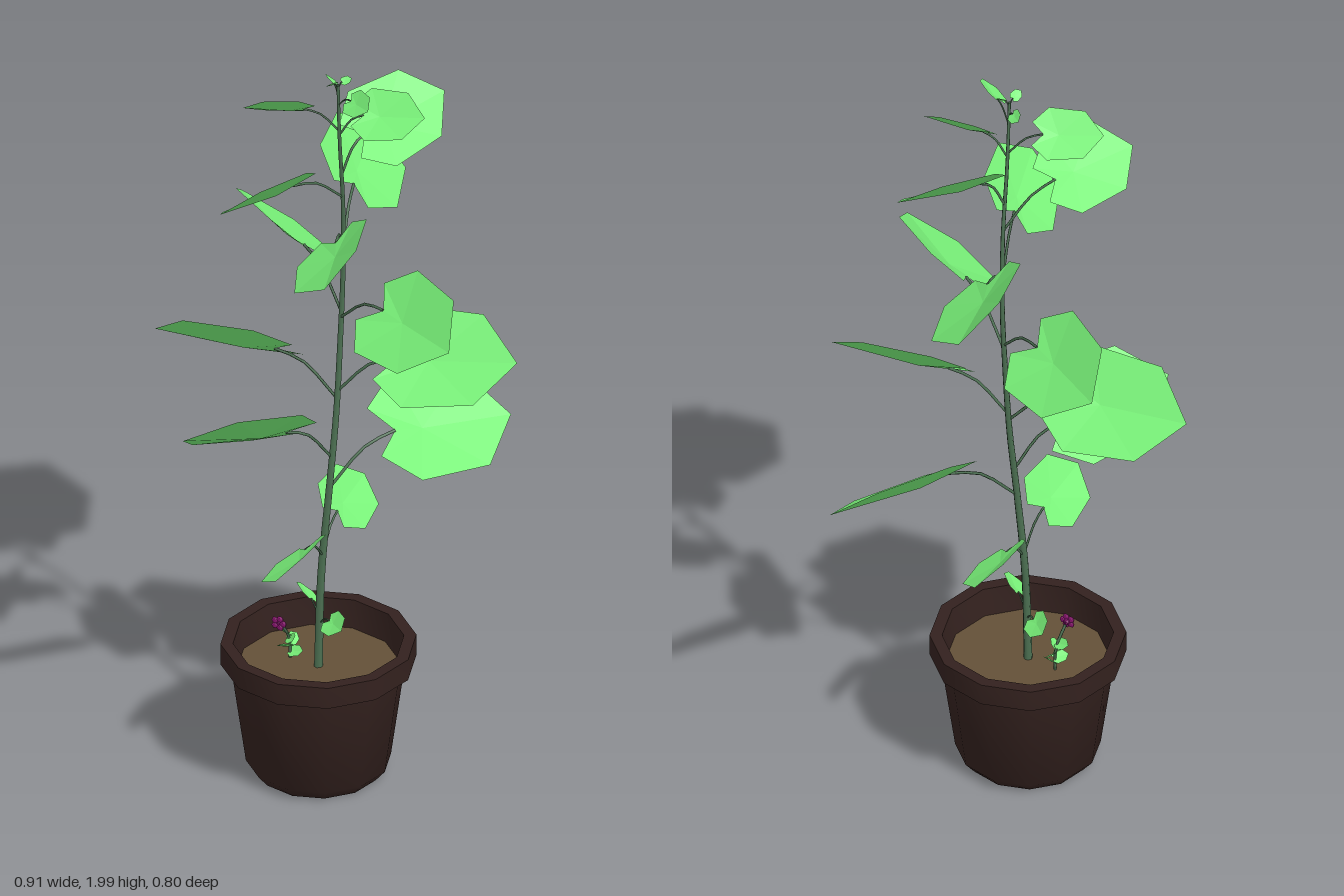
import * as THREE from 'three';
import { toCreasedNormals } from 'three/addons/utils/BufferGeometryUtils.js';

const mat = (color, flat = true) => new THREE.MeshStandardMaterial({ color, flatShading: flat, side: THREE.DoubleSide });
const leafMat = mat(0x78f078), stemMat = mat(0x4c7052, false), potMat = mat(0x33211e, false);
const soilMat = mat(0x635038), flowerMat = mat(0x8a1470);
const V = (x, y, z) => new THREE.Vector3(x, y, z);
const UP = V(0, 1, 0);

function add(parent, name, geometry, material) {
  const mesh = new THREE.Mesh(geometry, material);
  mesh.name = name;
  parent.add(mesh);
  return mesh;
}

// Main stem path, bottom to top
const stemPath = [
  V(-0.018, 0.28, 0.066), V(-0.012, 0.55, 0.062), V(0.005, 0.8, 0.05), V(0.013, 1.0, 0.027),
  V(0.016, 1.2, 0.01), V(0.02, 1.4, 0.002), V(0.028, 1.6, 0.02), V(0.036, 1.8, 0.058), V(0.042, 1.97, 0.08),
];
function stemAt(y) {
  let i = 0;
  while (i < stemPath.length - 2 && stemPath[i + 1].y < y) i++;
  const a = stemPath[i], b = stemPath[i + 1];
  return a.clone().lerp(b, (y - a.y) / (b.y - a.y));
}

// Half outline of a leaf and its sunken hub: along, across, lift (fractions of its length)
const outline = [[0, 0, 0], [-0.19, 0.2, 0.02], [0.08, 0.45, 0.045], [0.68, 0.4, 0.04], [1, 0, 0]];
const hub = [0.25, 0, -0.035];
const ROLL = 0.7;

// Faceted blade, fanned from its hub, slightly cupped and rolled about its length
function bladeGeometry(base, tip) {
  const dir = tip.clone().sub(base);
  const len = dir.length();
  dir.normalize();
  const across = UP.clone().cross(dir).normalize().applyAxisAngle(dir, ROLL);
  const normal = dir.clone().cross(across);
  const at = (p, s) => base.clone().addScaledVector(dir, p[0] * len)
    .addScaledVector(across, p[1] * len * s).addScaledVector(normal, p[2] * len);
  const centre = at(hub, 1);
  const pos = [];
  for (const s of [1, -1]) {
    for (let i = 0; i < outline.length - 1; i++) {
      const a = at(outline[i], s), b = at(outline[i + 1], s);
      for (const v of s > 0 ? [centre, b, a] : [centre, a, b]) pos.push(v.x, v.y, v.z);
    }
  }
  const g = new THREE.BufferGeometry();
  g.setAttribute('position', new THREE.Float32BufferAttribute(pos, 3));
  g.computeVertexNormals();
  return g;
}

// Leaves: tip x, y, z, height of blade base, blade length
const leaves = [
  [0.085, 0.46, 0.155, 0.45, 0.075], [-0.11, 0.455, -0.03, 0.45, 0.075],
  [0, 0.69, 0.36, 0.68, 0.19], [-0.02, 0.69, -0.215, 0.68, 0.18],
  [0.32, 0.875, -0.34, 0.912, 0.32], [-0.245, 1.04, 0.375, 0.985, 0.29],
  [0.455, 1.19, -0.08, 1.17, 0.3], [-0.455, 1.155, 0.08, 1.153, 0.31],
  [0.42, 1.385, 0.25, 1.37, 0.285], [-0.365, 1.4, -0.245, 1.385, 0.285],
  [0.15, 1.58, 0.4, 1.57, 0.25], [-0.075, 1.58, -0.4, 1.565, 0.28],
  [0.185, 1.82, -0.24, 1.78, 0.245], [-0.145, 1.71, 0.375, 1.707, 0.235],
  [0.25, 1.893, 0.02, 1.88, 0.155], [-0.18, 1.893, 0.16, 1.89, 0.15],
  [0.155, 1.957, 0.15, 1.948, 0.08], [-0.01, 1.96, 0.03, 1.957, 0.04],
  [0.07, 1.985, 0.06, 1.977, 0.03], [0.03, 1.985, 0.12, 1.977, 0.03],
];

function makeLeaf([x, y, z, baseY, len]) {
  const group = new THREE.Group();
  group.name = 'leaf';
  const node = stemAt(baseY - 0.015 - 0.32 * len);
  const out = V(x - node.x, 0, z - node.z);
  const reach = out.length();
  out.normalize();
  const base = node.clone().addScaledVector(out, Math.max(reach - len, 0.01)).setY(baseY);
  add(group, 'leafBlade', bladeGeometry(base, V(x, y, z)), leafMat);
  // Stalk rises from the stem, then bends outward
  const mid = node.clone().lerp(base, 0.55);
  mid.y = node.y + (baseY - node.y) * 0.8;
  const curve = new THREE.CatmullRomCurve3([node, mid, base]);
  add(group, 'leafStalk', new THREE.TubeGeometry(curve, 5, 0.0015 + 0.008 * len, 5), stemMat);
  return group;
}

// Small flower growing beside the stem
function makeSeedling() {
  const group = new THREE.Group();
  group.name = 'seedling';
  const top = V(-0.108, 0.41, 0.1);
  const curve = new THREE.CatmullRomCurve3([V(-0.1, 0.28, 0.055), V(-0.098, 0.35, 0.062), top]);
  add(group, 'seedlingStem', new THREE.TubeGeometry(curve, 5, 0.004, 5), stemMat);
  for (let i = 0; i < 5; i++) {
    const a = i * 2.4, p = curve.getPoint(0.2 + i * 0.1);
    const tip = p.clone().add(V(Math.cos(a) * 0.035, 0.008, Math.sin(a) * 0.035));
    add(group, 'seedlingLeaf', bladeGeometry(p, tip), leafMat);
  }
  add(group, 'flowerHeart', new THREE.IcosahedronGeometry(0.009, 0), flowerMat).position.copy(top);
  for (let i = 0; i < 5; i++) {
    const a = (i / 5) * Math.PI * 2;
    const petal = add(group, 'petal', new THREE.IcosahedronGeometry(0.01, 0), flowerMat);
    petal.scale.set(1, 1, 0.5);
    petal.position.copy(top).add(V(Math.cos(a) * 0.012, Math.sin(a) * 0.012, 0.004));
  }
  return group;
}

export function createModel() {
  const model = new THREE.Group();
  model.name = 'pottedPlant';

  // Pot with a thick rim, open at the top
  const profile = [[0, 0], [0.155, 0], [0.18, 0.03], [0.218, 0.305], [0.243, 0.307], [0.243, 0.365],
    [0.212, 0.365], [0.2, 0.27]].map(p => new THREE.Vector2(...p));
  const pot = add(model, 'pot', toCreasedNormals(new THREE.LatheGeometry(profile, 12), 1), potMat);
  pot.position.set(-0.018, 0, 0.065);

  const soil = add(model, 'soil', new THREE.CircleGeometry(0.208, 12).rotateX(-Math.PI / 2), soilMat);
  soil.position.set(-0.018, 0.29, 0.065);

  // Stem tapers toward the top
  const curve = new THREE.CatmullRomCurve3(stemPath);
  const stemGeo = new THREE.TubeGeometry(curve, 32, 0.011, 7);
  const p = stemGeo.attributes.position, v = V(0, 0, 0);
  for (let i = 0; i < p.count; i++) {
    const t = Math.floor(i / 8) / 32;
    const c = curve.getPointAt(t);
    v.fromBufferAttribute(p, i).sub(c).multiplyScalar(1 - 0.65 * t).add(c);
    p.setXYZ(i, v.x, v.y, v.z);
  }
  add(model, 'stem', stemGeo, stemMat);

  for (const leaf of leaves) model.add(makeLeaf(leaf));
  model.add(makeSeedling());
  return model;
}
